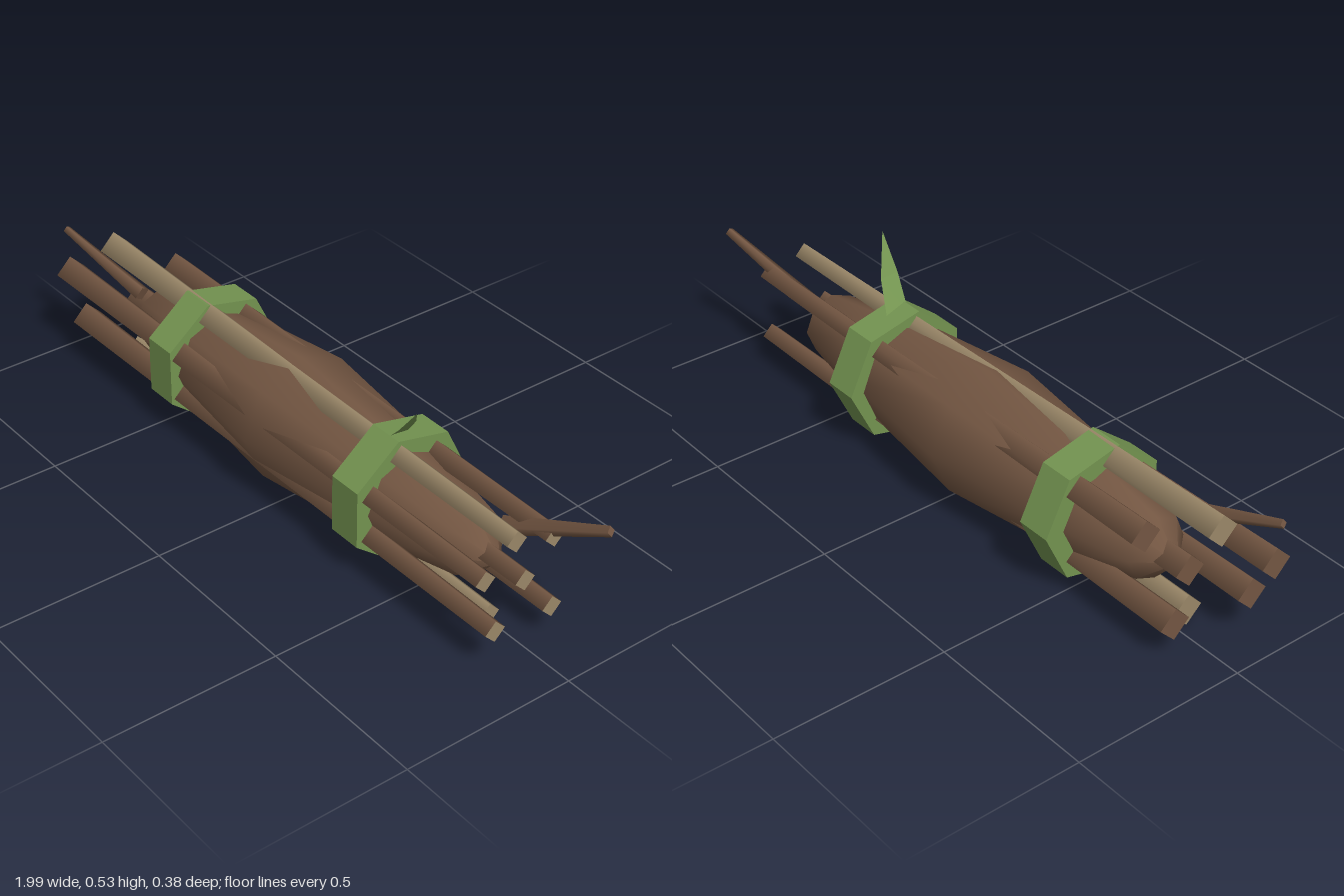
import * as THREE from 'three';

const mat = (name, color, side = THREE.FrontSide, flatShading = false) => {
  const m = new THREE.MeshStandardMaterial({ color, side, flatShading });
  m.name = name;
  return m;
};

const CY = 0.197; // height of the bundle axis

export function createModel() {
  const bark = mat('bark brown', 0x735642);
  const wood = mat('cut wood tan', 0x9a8768);
  const green = mat('vine green', 0x739350, THREE.DoubleSide, true);
  const model = new THREE.Group();
  model.name = 'stickBundle';

  const add = (name, geometry, material) => {
    const mesh = new THREE.Mesh(geometry, material);
    mesh.name = name;
    model.add(mesh);
    return mesh;
  };

  // Swollen eight-sided core lying along x
  const profile = [
    [0, -0.78], [0.09, -0.7], [0.14, -0.47], [0.187, -0.05],
    [0.14, 0.38], [0.09, 0.65], [0, 0.74],
  ].map(([r, y]) => new THREE.Vector2(r, y));
  const core = add('bundleCore', new THREE.LatheGeometry(profile, 8).rotateZ(-Math.PI / 2), bark);
  core.position.y = CY;

  // Four-sided tapered stick from a (thick) to b (thin)
  const stick = (name, a, b, ra, rb, side, capB) => {
    const A = new THREE.Vector3(...a), B = new THREE.Vector3(...b);
    const dir = B.clone().sub(A);
    const mesh = add(name, new THREE.CylinderGeometry(rb, ra, dir.length(), 4), [side, capB, side]);
    mesh.position.copy(A).add(B).multiplyScalar(0.5);
    mesh.quaternion.setFromUnitVectors(new THREE.Vector3(0, 1, 0), dir.normalize());
  };

  // Long sticks running through the bundle
  const sticks = [
    [[-0.89, 0.345, 0.03], [0.83, 0.33, 0.035], wood],
    [[-0.98, 0.257, 0.125], [0.82, 0.245, 0.12], bark],
    [[-0.915, 0.13, 0.12], [0.865, 0.125, 0.122], bark],
    [[-0.79, 0.046, 0.03], [0.75, 0.06, 0.035], wood],
    [[-0.86, 0.1, -0.08], [0.85, 0.095, -0.076], bark],
    [[-0.75, 0.3, -0.085], [0.84, 0.3, -0.08], bark],
    [[-0.82, 0.2, 0], [0.835, 0.205, 0.005], bark],
  ];
  sticks.forEach(([a, b, side], i) => stick(`stick${i + 1}`, a, b, 0.046, 0.031, side, wood));

  // Thin twigs bent outward at each end
  stick('rightTwig', [-0.7, 0.29, 0.065], [-0.995, 0.385, 0.12], 0.025, 0.012, bark, bark);
  stick('leftTwig', [0.7, 0.265, -0.045], [0.985, 0.385, -0.115], 0.026, 0.014, bark, bark);

  // Seven-sided vine ties
  const heptagon = (r) => Array.from({ length: 7 }, (_, i) => {
    const t = (i / 7) * Math.PI * 2;
    return new THREE.Vector2(r * Math.cos(t), r * Math.sin(t));
  });
  const tieShape = new THREE.Shape(heptagon(0.19));
  tieShape.holes.push(new THREE.Path(heptagon(0.135)));
  const tieGeo = new THREE.ExtrudeGeometry(tieShape, { depth: 0.1, bevelEnabled: false });
  tieGeo.translate(0, 0, -0.05).rotateY(Math.PI / 2);
  [['rightTie', -0.46], ['leftTie', 0.35]].forEach(([name, x]) => {
    add(name, tieGeo, green).position.set(x, CY, 0);
  });

  // Pointed leaf growing from the left tie
  const leaf = new THREE.BufferGeometry();
  leaf.setAttribute('position', new THREE.Float32BufferAttribute([
    0.345, 0.36, 0.04, 0.425, 0.44, 0.065, 0.5, 0.532, 0.072,
    0.42, 0.44, 0.005, 0.35, 0.36, -0.028,
  ], 3));
  leaf.setIndex([0, 1, 3, 1, 2, 3, 0, 3, 4]);
  leaf.computeVertexNormals();
  add('leaf', leaf, green);

  return model;
}
